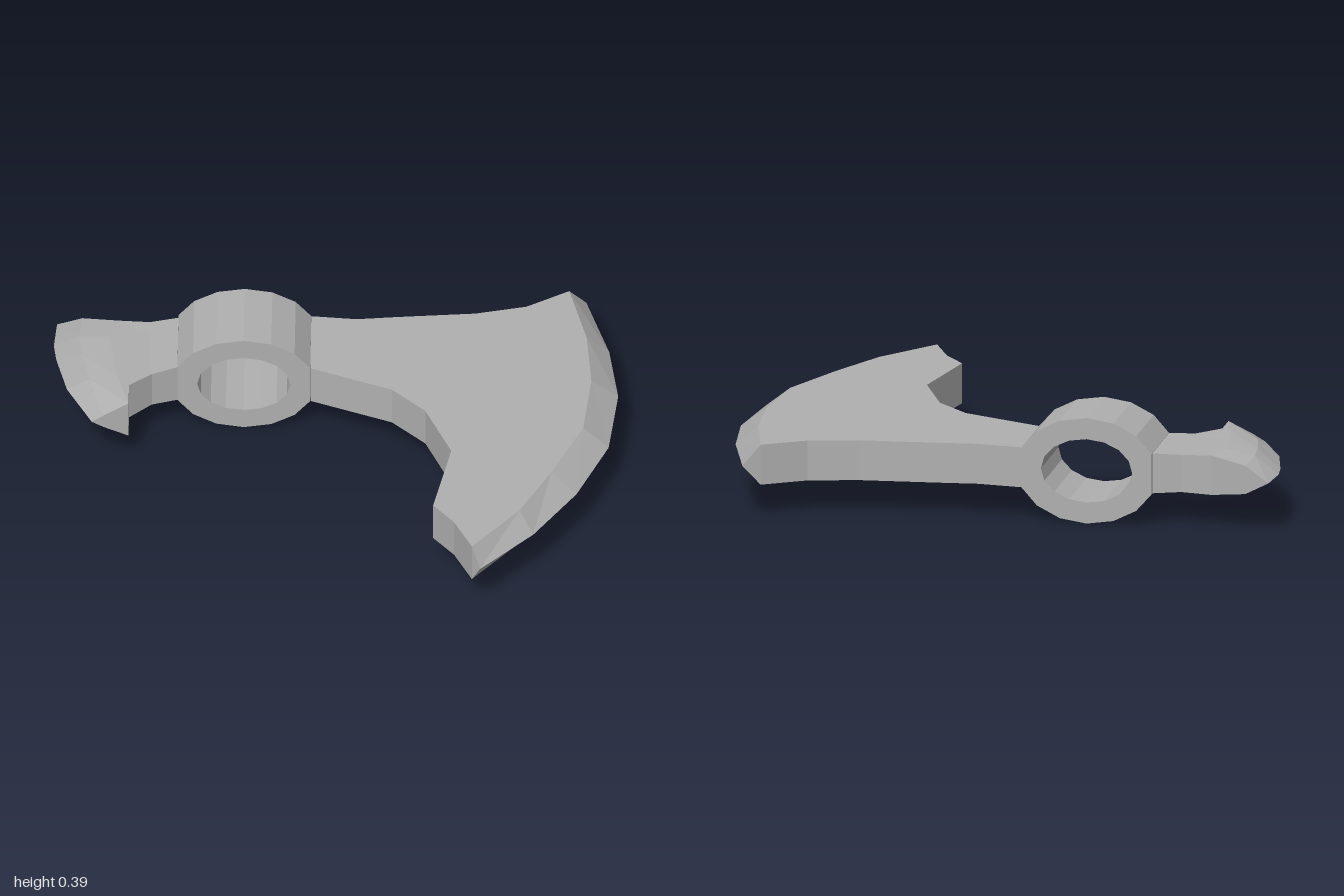
import * as THREE from 'three';

const MID = 0.193;  // height of the cutting plane
const HALF = 0.073; // half thickness of the head

// Outline in (x, z), extruded upwards through the full head thickness
function plate(points, material) {
  const shape = new THREE.Shape(points.map(([x, z]) => new THREE.Vector2(x, -z)));
  const geo = new THREE.ExtrudeGeometry(shape, { depth: HALF * 2, bevelEnabled: false });
  geo.rotateX(-Math.PI / 2);
  geo.translate(0, MID - HALF, 0);
  return new THREE.Mesh(geo, material);
}

// Grid of [x, z, half thickness], rows towards +z and columns towards +x,
// mirrored about the cutting plane and closed round the rim
function slab(rows, material) {
  const pos = [];
  const top = ([x, z, h]) => [x, MID + h, z];
  const low = ([x, z, h]) => [x, MID - h, z];
  const quad = (a, b, c, d) => pos.push(...a, ...b, ...c, ...a, ...c, ...d);
  const n = rows.length - 1, m = rows[0].length - 1;
  for (let i = 0; i < n; i++) {
    for (let j = 0; j < m; j++) {
      const [a, b, c, d] = [rows[i][j], rows[i + 1][j], rows[i + 1][j + 1], rows[i][j + 1]];
      quad(top(a), top(b), top(c), top(d));
      pos.push(...low(a), ...low(c), ...low(b), ...low(a), ...low(d), ...low(c));
    }
  }
  const rim = [
    ...rows.slice(0, n).map((r) => r[0]),
    ...rows[n].slice(0, m),
    ...rows.slice(1).reverse().map((r) => r[m]),
    ...rows[0].slice(1).reverse(),
  ];
  rim.forEach((p, i) => {
    const q = rim[(i + 1) % rim.length];
    quad(top(p), low(p), low(q), top(q));
  });
  const geo = new THREE.BufferGeometry();
  geo.setAttribute('position', new THREE.Float32BufferAttribute(pos, 3));
  geo.computeVertexNormals();
  return new THREE.Mesh(geo, material);
}

export function createModel() {
  const steel = new THREE.MeshStandardMaterial({ color: 0xb0b0b0, flatShading: true });
  steel.name = 'grey steel';
  const group = new THREE.Group();
  group.name = 'axeHead';
  const add = (mesh, name) => {
    mesh.name = name;
    group.add(mesh);
  };

  // Ridge where the flat cheek meets the bevel, and the sharp edge beyond it
  const ridge = [[0.82, -0.747], [0.885, -0.48], [0.905, -0.23], [0.88, 0.04],
    [0.77, 0.3], [0.66, 0.52], [0.495, 0.73]];
  const edge = [[0.88, -0.775], [0.965, -0.49], [1.0, -0.235], [0.97, 0.06],
    [0.86, 0.33], [0.71, 0.565], [0.525, 0.765]];

  // Main blade with its long beard
  add(plate([
    [-0.09, -0.59], [0.07, -0.575], [0.22, -0.59], [0.49, -0.613], [0.67, -0.655],
    ...ridge,
    [0.43, 0.59], [0.355, 0.495], [0.415, 0.18], [0.32, -0.05], [0.2, -0.17], [-0.09, -0.29],
  ], steel), 'blade');
  add(slab(ridge.map((p, i) => [[...p, HALF], [...edge[i], 0]]), steel), 'cuttingEdge');

  // Oval eye for the handle, cut flat where blade and neck join it
  const oval = (rx, ry, skipEnds) => {
    const pts = [];
    for (let i = 0; i < 16; i++) {
      if (skipEnds && i % 8 === 0) continue;
      const a = (i / 16) * Math.PI * 2;
      pts.push(new THREE.Vector2(rx * Math.cos(a), ry * Math.sin(a)));
    }
    return pts;
  };
  const ring = new THREE.Shape(oval(0.254, 0.193, true));
  ring.holes.push(new THREE.Path(oval(0.165, 0.116, false)));
  const eye = new THREE.ExtrudeGeometry(ring, { depth: 0.3, bevelEnabled: false });
  eye.translate(-0.325, MID, -0.59);
  add(new THREE.Mesh(eye, steel), 'handleEye');

  // Small rear blade with a hooked barb, tapering to an edge
  add(slab([
    [[-0.99, -0.625, 0], [-0.9, -0.595, 0.052], [-0.77, -0.557, 0.072], [-0.66, -0.555, 0.068], [-0.56, -0.575, HALF]],
    [[-1, -0.5, 0], [-0.91, -0.48, 0.06], [-0.8, -0.46, 0.075], [-0.66, -0.48, 0.068], [-0.56, -0.5, HALF]],
    [[-0.99, -0.42, 0], [-0.9, -0.38, 0.06], [-0.79, -0.35, 0.075], [-0.66, -0.39, 0.068], [-0.56, -0.4, HALF]],
    [[-0.95, -0.25, 0], [-0.87, -0.24, 0.055], [-0.77, -0.23, 0.075], [-0.66, -0.3, 0.068], [-0.56, -0.29, HALF]],
    [[-0.86, -0.065, 0], [-0.82, -0.069, 0.025], [-0.73, -0.08, 0.072], [-0.73, -0.185, 0.072], [-0.65, -0.255, 0.068]],
  ], steel), 'rearBlade');

  return group;
}
